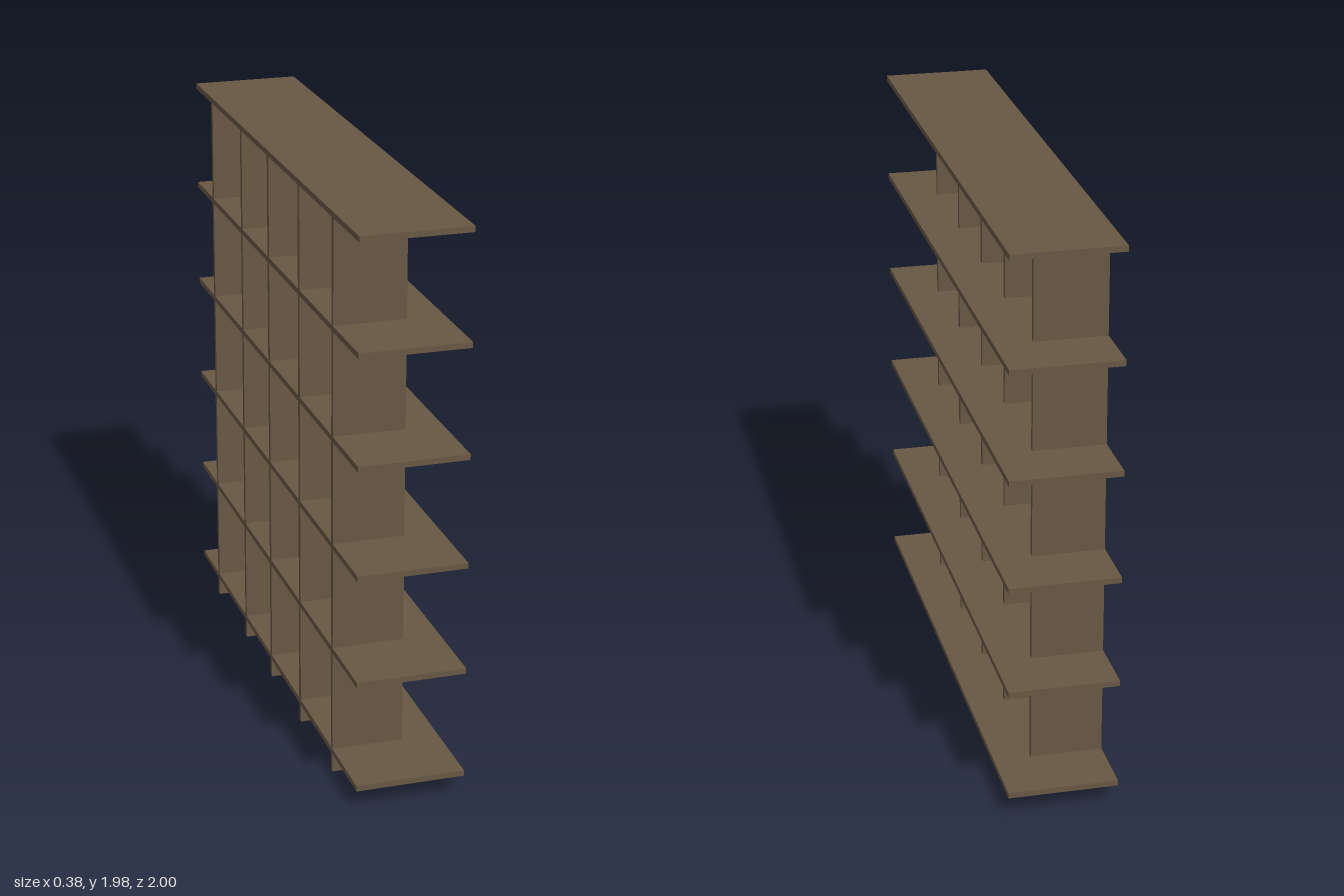
import * as THREE from 'three';

export function createModel() {
  const model = new THREE.Group();
  const wood = new THREE.MeshStandardMaterial({ color: 0x685743 });

  const board = (name, size, position) => {
    const mesh = new THREE.Mesh(new THREE.BoxGeometry(...size), wood);
    mesh.name = name;
    mesh.position.set(...position);
    model.add(mesh);
  };

  const thickness = 0.02;
  const firstShelf = 0.076, shelfStep = 0.3786;

  // Six full-length horizontal shelves
  const shelves = new Array(6).fill(0).map((_, i) => firstShelf + i * shelfStep);
  shelves.forEach((y, i) => board(`shelf${i + 1}`, [0.376, thickness, 2], [0, y, 0]));

  // Five upright dividers, flush with one long side and ending under the top shelf
  const height = shelves[5] - thickness / 2;
  const back = -0.1875, front = 0.06;
  [0.72, 0.34, -0.03, -0.377, -0.776].forEach((z, i) =>
    board(`divider${i + 1}`, [front - back, height, thickness], [(front + back) / 2, height / 2, z]));

  return model;
}
